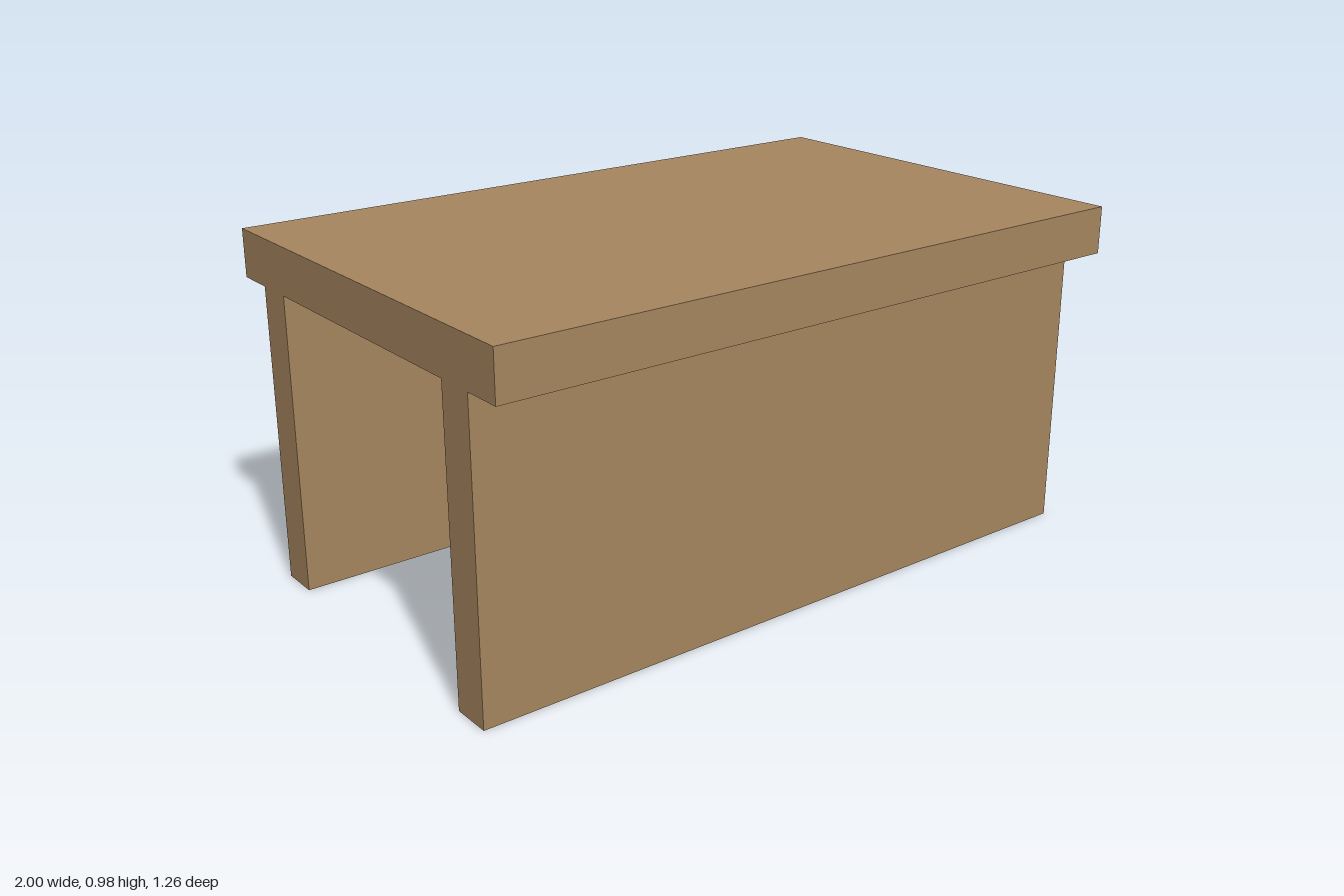
import * as THREE from 'three';

const LENGTH = 2;
const TOP = 0.983, UNDERSIDE = 0.848;      // heights of the slab faces
const EDGE = 0.63;                         // half depth of the slab
const LEG_OUT = 0.515, LEG_IN = 0.402;     // outer and inner faces of the leg panels

export function createModel() {
  const wood = new THREE.MeshStandardMaterial({ color: 0xa6865f });
  wood.name = 'wood';

  // Half of the end profile, from the top edge down around one leg panel
  const half = [
    [EDGE, TOP], [EDGE, UNDERSIDE], [LEG_OUT, UNDERSIDE],
    [LEG_OUT, 0], [LEG_IN, 0], [LEG_IN, UNDERSIDE],
  ];
  const mirrored = half.map(([x, y]) => [-x, y]).reverse();
  const profile = new THREE.Shape([...half, ...mirrored].map(([x, y]) => new THREE.Vector2(x, y)));

  // Slab top and both leg panels as one solid, run along x
  const geometry = new THREE.ExtrudeGeometry(profile, { depth: LENGTH, bevelEnabled: false });
  geometry.translate(0, 0, -LENGTH / 2);
  geometry.rotateY(Math.PI / 2);

  const bench = new THREE.Mesh(geometry, wood);
  bench.name = 'tabletopWithLegPanels';

  const model = new THREE.Group();
  model.name = 'table';
  model.add(bench);
  return model;
}
